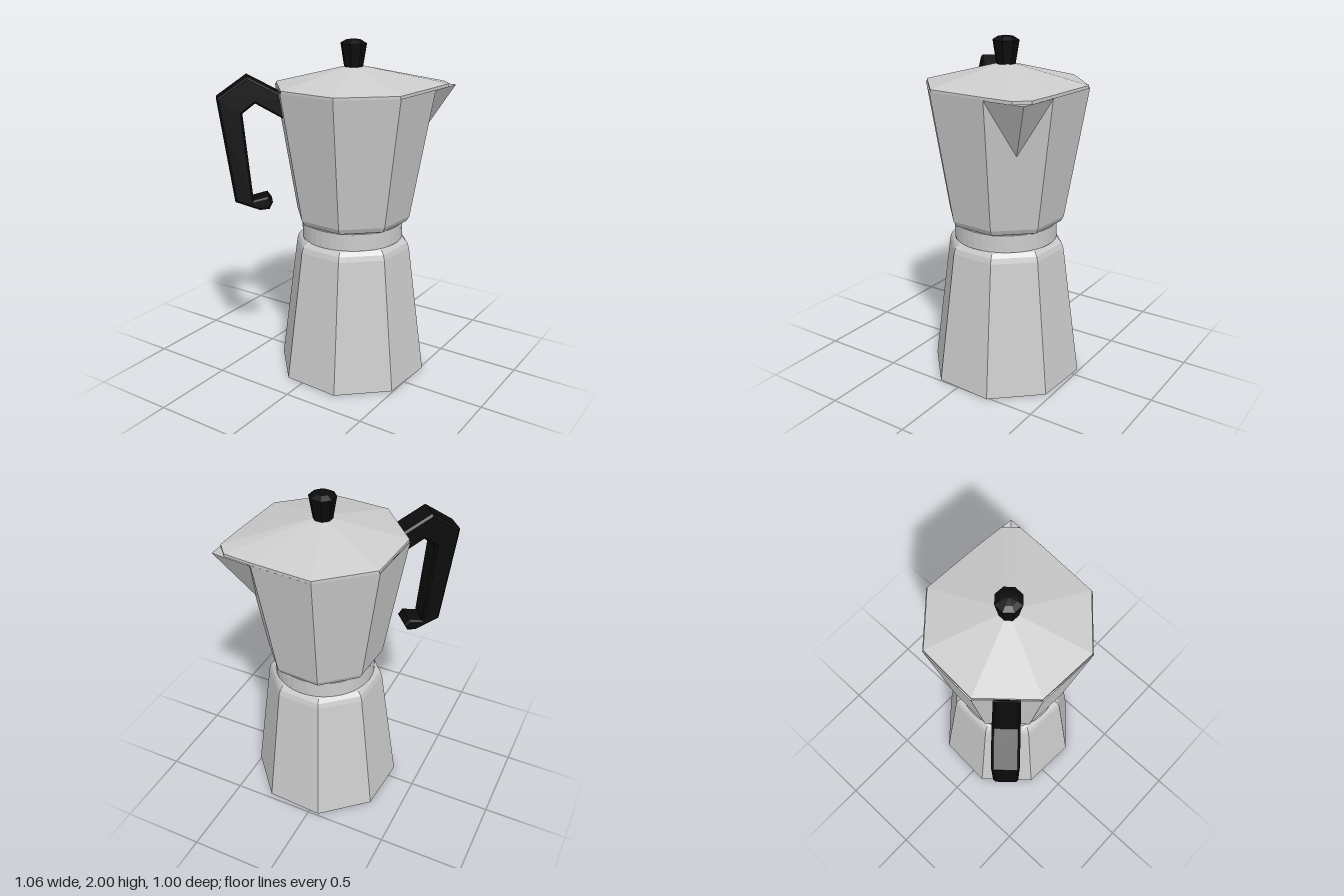
import * as THREE from 'three';

const SIDES = 8;
const metal = new THREE.MeshStandardMaterial({ color: 0xcccccc, flatShading: true, side: THREE.DoubleSide });
const black = new THREE.MeshStandardMaterial({ color: 0x0c0c0c, flatShading: true });

function part(name, geometry, material) {
  const mesh = new THREE.Mesh(geometry, material);
  mesh.name = name;
  return mesh;
}

// Faceted solid from [radius, height] pairs, with a flat face towards +x
function faceted(profile, sides = SIDES) {
  const points = profile.map(([r, y]) => new THREE.Vector2(r, y));
  return new THREE.LatheGeometry(points, sides, Math.PI / sides);
}

// Geometry from a list of triangles, each given as three Vector3
function triangles(list) {
  const geometry = new THREE.BufferGeometry().setFromPoints(list.flat());
  geometry.computeVertexNormals();
  return geometry;
}

// Octagonal lid, drawn out over the spout with a blunt nose
function lidGeometry() {
  const outline = [];
  for (let i = 0; i < SIDES; i++) {
    const a = (i + 0.5) * Math.PI * 2 / SIDES;
    outline.push([0.462 * Math.cos(a), 0.462 * Math.sin(a)]);
  }
  outline.push([0.545, -0.05], [0.545, 0.05]);
  const apex = new THREE.Vector3(0, 1.86, 0);
  const faces = [];
  outline.forEach(([x, z], i) => {
    const [x2, z2] = outline[(i + 1) % outline.length];
    const a = new THREE.Vector3(x, 1.745, z), b = new THREE.Vector3(x2, 1.745, z2);
    const c = new THREE.Vector3(x, 1.728, z), d = new THREE.Vector3(x2, 1.728, z2);
    faces.push([apex, b, a], [a, b, d], [a, d, c]);
  });
  return triangles(faces);
}

// Two triangles meeting in a pointed lip
function spoutGeometry() {
  const tip = new THREE.Vector3(0.6, 1.73, 0);
  const foot = new THREE.Vector3(0.385, 1.42, 0);
  const near = new THREE.Vector3(0.434, 1.73, 0.18);
  const far = new THREE.Vector3(0.434, 1.73, -0.18);
  return triangles([[tip, near, foot], [tip, foot, far]]);
}

// Angular handle: side profile (distance from axis, height) given a width
function handleGeometry() {
  const profile = [
    [0.38, 1.69], [0.60, 1.81], [0.772, 1.69], [0.69, 1.095], [0.55, 1.04], [0.495, 1.045],
    [0.475, 1.085], [0.50, 1.12], [0.585, 1.10], [0.632, 1.605], [0.56, 1.66], [0.38, 1.555],
  ];
  const shape = new THREE.Shape(profile.map(([r, y]) => new THREE.Vector2(-r, y)));
  const bevel = 0.012, width = 0.14;
  const geometry = new THREE.ExtrudeGeometry(shape, {
    depth: width - 2 * bevel, bevelEnabled: true, bevelSegments: 1,
    bevelSize: bevel, bevelThickness: bevel, bevelOffset: -bevel,
  });
  return geometry.translate(0, 0, -width / 2 + bevel);
}

export function createModel() {
  const model = new THREE.Group();
  model.name = 'coffeePot';

  // Lower chamber
  model.add(part('waterChamber', faceted([
    [0, 0], [0.45, 0], [0.345, 0.79], [0.335, 0.82], [0.315, 0.843], [0.285, 0.853], [0, 0.853],
  ]), metal));

  // Round threaded collar
  const collar = part('collar', new THREE.CylinderGeometry(0.298, 0.298, 0.1, 40), metal);
  collar.position.y = 0.897;
  model.add(collar);

  // Upper jug with its spout
  model.add(part('jug', faceted([
    [0, 0.943], [0.295, 0.943], [0.325, 0.955], [0.342, 0.985], [0.468, 1.732],
  ]), metal));
  model.add(part('spout', spoutGeometry(), metal));

  // Lid and knob
  model.add(part('lid', lidGeometry(), metal));
  model.add(part('knob', faceted([
    [0, 1.84], [0.054, 1.84], [0.076, 1.975], [0.045, 1.993], [0, 2],
  ]), black));

  model.add(part('handle', handleGeometry(), black));

  // Turn the pot so the handle points front right and the spout back left
  model.rotation.y = THREE.MathUtils.degToRad(41.8);
  model.position.set(0.087, 0, -0.063);

  const root = new THREE.Group();
  root.name = 'model';
  root.add(model);
  return root;
}
